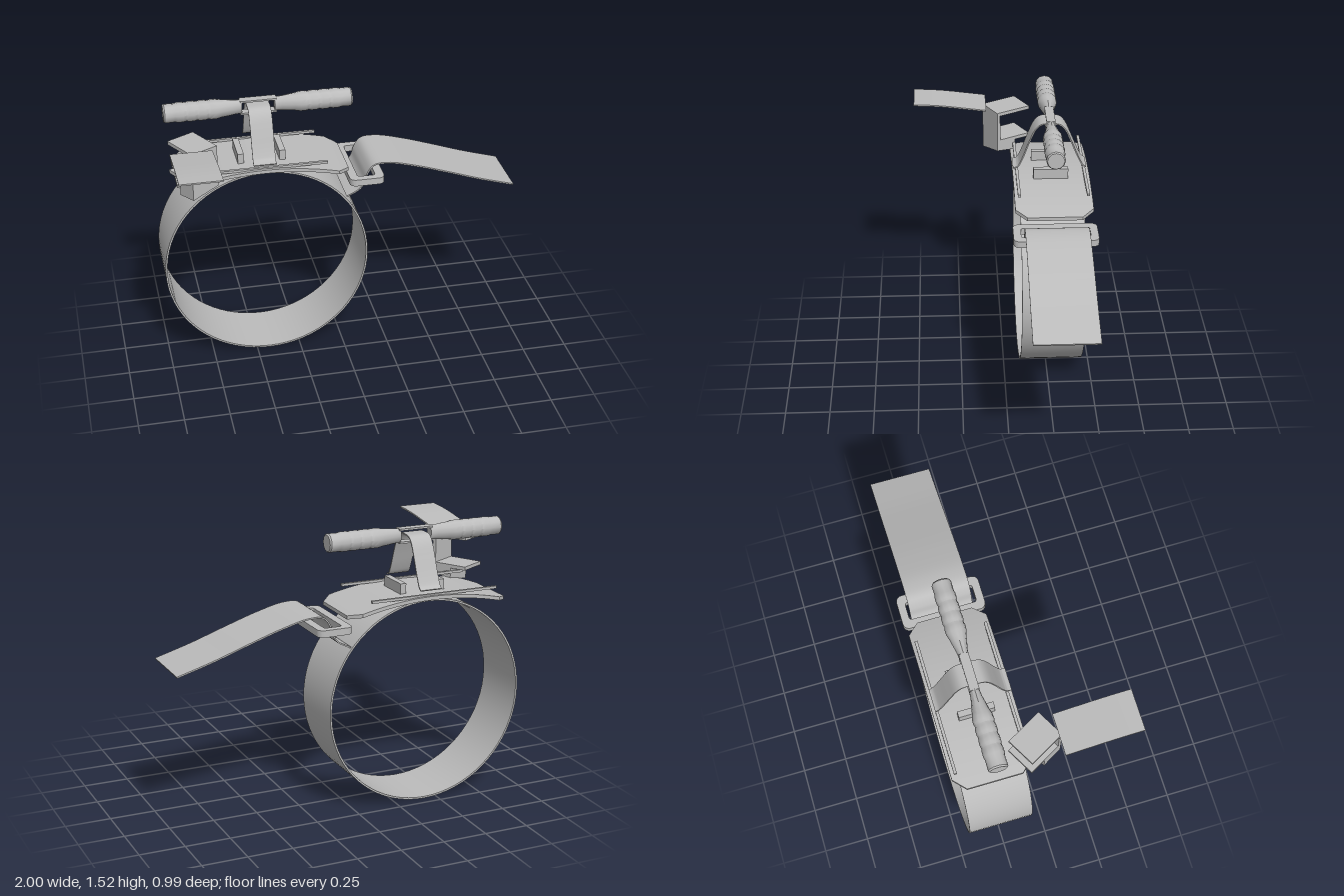
import * as THREE from 'three';
import { toCreasedNormals } from 'three/addons/utils/BufferGeometryUtils.js';

export function createModel() {
  const model = new THREE.Group();
  const grey = new THREE.MeshStandardMaterial({ color: 0xbcbcbc });
  grey.name = 'grey';

  function add(name, geometry, x = 0, y = 0, z = 0, parent = model) {
    const mesh = new THREE.Mesh(toCreasedNormals(geometry, 0.6), grey);
    mesh.name = name;
    mesh.position.set(x, y, z);
    parent.add(mesh);
    return mesh;
  }
  const box = (w, h, d) => new THREE.BoxGeometry(w, h, d);

  // Thin webbing that follows a smooth path, centred on z = 0
  function ribbon(path, width, thickness, steps) {
    const curve = new THREE.CatmullRomCurve3(path.map(([x, y]) => new THREE.Vector3(x, y, 0)));
    const upper = [], lower = [];
    for (let i = 0; i <= steps; i++) {
      const p = curve.getPoint(i / steps), t = curve.getTangent(i / steps);
      const nx = -t.y * thickness / 2, ny = t.x * thickness / 2;
      upper.push(new THREE.Vector2(p.x + nx, p.y + ny));
      lower.unshift(new THREE.Vector2(p.x - nx, p.y - ny));
    }
    const shape = new THREE.Shape([...upper, ...lower]);
    return new THREE.ExtrudeGeometry(shape, { depth: width, bevelEnabled: false }).translate(0, 0, -width / 2);
  }

  // Main band
  const profile = [[0.575, -0.178], [0.575, 0.178], [0.565, 0.178], [0.565, -0.178], [0.575, -0.178]];
  const band = new THREE.LatheGeometry(profile.map(([r, y]) => new THREE.Vector2(r, y)), 72);
  add('bandLoop', band.rotateX(Math.PI / 2), -0.425, 0.58, -0.267);

  // Curved base plate with cut corners
  const plate = box(0.95, 0.02, 0.43, 30, 1, 1);
  const plateGeometry = new THREE.BoxGeometry(0.95, 0.02, 0.43, 30, 1, 2);
  plate.dispose();
  const pos = plateGeometry.attributes.position;
  for (let i = 0; i < pos.count; i++) {
    const x = pos.getX(i);
    const cut = Math.max(0, Math.abs(x) - 0.411);
    pos.setZ(i, pos.getZ(i) * (1 - cut / 0.215));
    pos.setY(i, pos.getY(i) - 0.3 * x * x);
  }
  plateGeometry.computeVertexNormals();
  add('basePlate', plateGeometry, -0.43, 1.172, -0.272);

  // Side rails and rod stops on the plate
  for (const z of [-0.462, -0.082]) add('plateRail', box(0.75, 0.014, 0.016), -0.455, 1.183, z);
  for (const x of [-0.545, -0.315]) add('rodStop', box(0.034, 0.075, 0.195), x, 1.197, -0.268);

  // Narrow webbing rising through the slot in the rod
  const rise = [[-0.47, 1.213], [-0.452, 1.225], [-0.425, 1.275], [-0.385, 1.37], [-0.35, 1.445], [-0.32, 1.474],
    [-0.267, 1.48], [-0.214, 1.474], [-0.184, 1.445], [-0.15, 1.37], [-0.11, 1.265], [-0.085, 1.22], [-0.06, 1.212]];
  add('rodWebbing', ribbon(rise, 0.125, 0.007, 48).rotateY(-Math.PI / 2), -0.428);

  // Twisting rod: two ribbed grips joined by bars above and below a slot
  const rod = new THREE.Group();
  rod.name = 'rod';
  rod.position.set(-0.427, 1.475, -0.267);
  model.add(rod);
  const grip = [[0, 0.09], [0.04, 0.09], [0.042, 0.13], [0.047, 0.17], [0.049, 0.2]];
  for (let d = 0.23; d < 0.47; d += 0.06) grip.push([0.055, d], [0.055, d + 0.03], [0.051, d + 0.045]);
  grip.push([0.052, 0.51], [0.046, 0.518], [0, 0.518]);
  for (const turn of [0, Math.PI]) {
    const g = new THREE.LatheGeometry(grip.map(([r, y]) => new THREE.Vector2(r, y)), 12).rotateZ(-Math.PI / 2);
    const p = g.attributes.position;
    for (let i = 0; i < p.count; i++) {
      const s = THREE.MathUtils.smoothstep(p.getX(i), 0.08, 0.26);
      p.setZ(i, p.getZ(i) * (0.65 + 0.35 * s));
    }
    add('rodGrip', g, 0, 0, 0, rod).rotation.y = turn;
  }
  for (const y of [0.035, -0.036]) add('slotBar', box(0.2, 0.01, 0.05), 0, y, 0, rod);

  // Rod clip: an angled channel, open at the back
  const clip = new THREE.Group();
  clip.name = 'rodClip';
  clip.position.set(-0.82, 0, -0.037);
  clip.rotation.y = 0.504;
  model.add(clip);
  add('clipWall', box(0.166, 0.19, 0.02), 0, 1.303, 0.097, clip);
  for (const y of [1.388, 1.217]) add('clipFlange', box(0.166, 0.02, 0.214), 0, y, 0, clip);

  // Clip foot, its underside sloping with the plate
  const foot = box(0.166, 0.08, 0.12);
  const fp = foot.attributes.position;
  for (let i = 0; i < fp.count; i++) {
    if (fp.getY(i) > 0) continue;
    const worldX = -0.82 + fp.getX(i) * 0.875 + (fp.getZ(i) + 0.047) * 0.483;
    fp.setY(i, 1.112 + 0.24 * (worldX + 0.9) - 1.167);
  }
  foot.computeVertexNormals();
  add('clipFoot', foot, 0, 1.167, 0.047, clip);

  // Short flap over the clip
  const flap = [[0.08, 1.402], [0.2, 1.418], [0.3, 1.431], [0.4, 1.44], [0.495, 1.444]];
  add('clipFlap', ribbon(flap, 0.225, 0.008, 16).rotateY(-Math.PI / 2), -0.84);

  // Buckle frame with rounded corners
  function roundedRect(target, w, h, r) {
    const x = w / 2, y = h / 2;
    target.absarc(x - r, y - r, r, 0, Math.PI / 2);
    target.absarc(r - x, y - r, r, Math.PI / 2, Math.PI);
    target.absarc(r - x, r - y, r, Math.PI, Math.PI * 1.5);
    target.absarc(x - r, r - y, r, Math.PI * 1.5, Math.PI * 2);
    target.closePath();
    return target;
  }
  const frame = roundedRect(new THREE.Shape(), 0.195, 0.46, 0.035);
  frame.holes.push(roundedRect(new THREE.Path(), 0.1, 0.375, 0.015));
  const buckle = new THREE.ExtrudeGeometry(frame, { depth: 0.038, bevelEnabled: false, curveSegments: 5 });
  add('buckle', buckle.rotateX(-Math.PI / 2), 0.138, 1.035, -0.268);

  // Loose strap end threaded through the buckle
  const tail = [[0.03, 0.943], [0.1, 0.98], [0.13, 1.02], [0.148, 1.075], [0.185, 1.122], [0.27, 1.128],
    [0.42, 1.093], [0.6, 1.035], [0.8, 0.967], [0.998, 0.909]];
  add('strapTail', ribbon(tail, 0.345, 0.008, 48), 0, 0, -0.27);

  return model;
}
